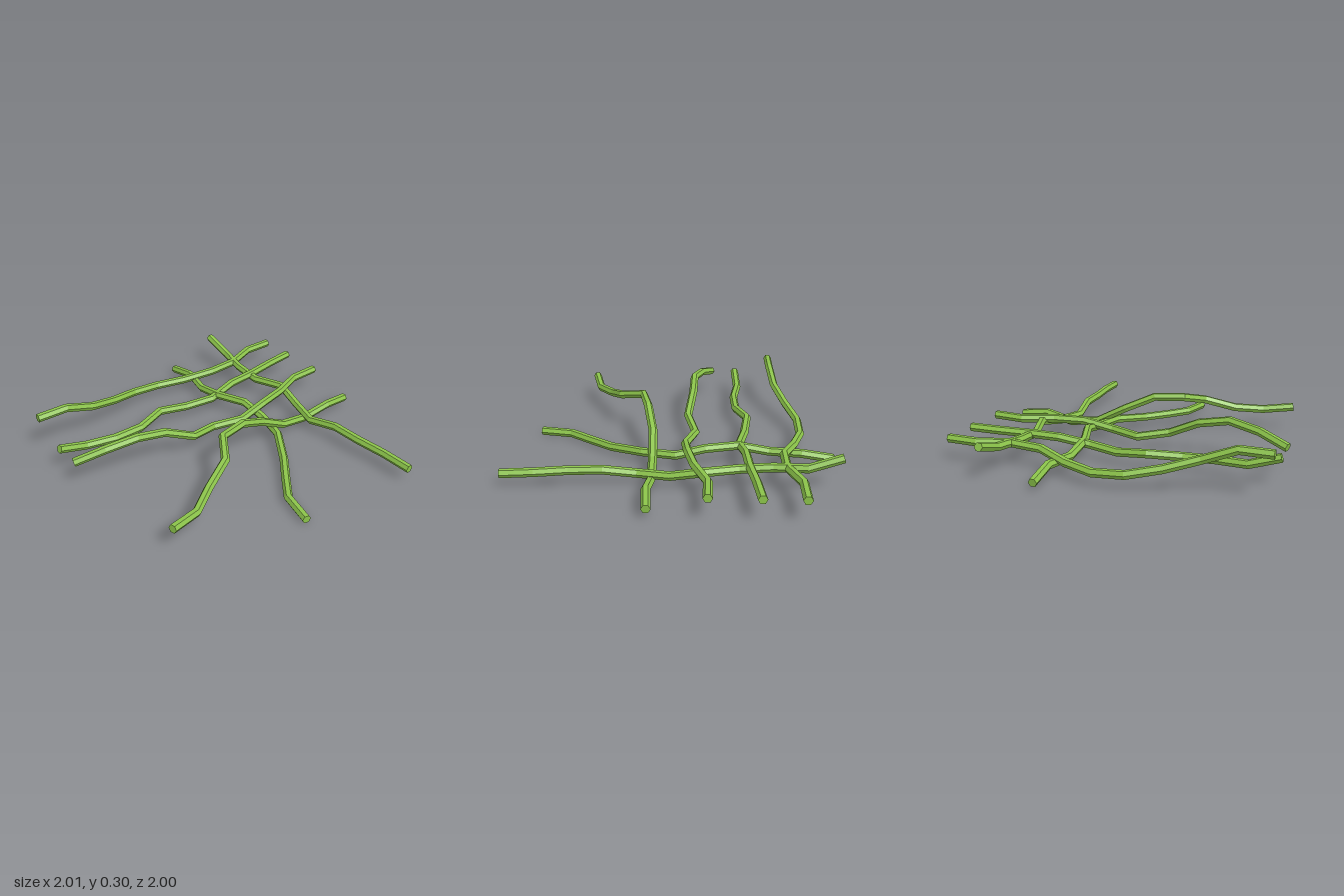
import * as THREE from 'three';

const SIDES = 6;
const RADIUS = 0.028;

// Hexagonal sweep with mitred joints along a path of [x, y, z] points
function strandGeometry(path) {
  const pts = path.map((p) => new THREE.Vector3(...p));
  const last = pts.length - 1;
  const rings = pts.map((p, i) => {
    const before = p.clone().sub(pts[Math.max(i - 1, 0)]).normalize();
    const after = pts[Math.min(i + 1, last)].clone().sub(p).normalize();
    const tangent = before.add(after).normalize();
    const side = new THREE.Vector3(0, 1, 0).cross(tangent).normalize();
    const up = tangent.clone().cross(side);
    return Array.from({ length: SIDES }, (_, j) => {
      const a = (j / SIDES) * Math.PI * 2;
      return p.clone()
        .addScaledVector(side, Math.cos(a) * RADIUS)
        .addScaledVector(up, Math.sin(a) * RADIUS);
    });
  });

  const verts = [];
  const tri = (a, b, c) => verts.push(...a.toArray(), ...b.toArray(), ...c.toArray());
  for (let j = 0; j < SIDES; j++) {
    const k = (j + 1) % SIDES;
    for (let i = 0; i < last; i++) {
      tri(rings[i][j], rings[i][k], rings[i + 1][j]);
      tri(rings[i][k], rings[i + 1][k], rings[i + 1][j]);
    }
    // end caps
    tri(pts[0], rings[0][k], rings[0][j]);
    tri(pts[last], rings[last][j], rings[last][k]);
  }
  const geo = new THREE.BufferGeometry();
  geo.setAttribute('position', new THREE.Float32BufferAttribute(verts, 3));
  geo.computeVertexNormals();
  return geo;
}

// Strands running from back to front
const lengthwise = {
  leftOuterVine: [
    [-0.755, 0.145, -1], [-0.755, 0.145, -0.8], [-0.68, 0.14, -0.6], [-0.68, 0.13, -0.4],
    [-0.755, 0.095, -0.2], [-0.82, 0.085, 0], [-0.82, 0.1, 0.2], [-0.755, 0.14, 0.4],
    [-0.69, 0.2, 0.6], [-0.665, 0.275, 0.8], [-0.665, 0.275, 1],
  ],
  leftInnerVine: [
    [-0.515, 0.145, -1], [-0.495, 0.14, -0.8], [-0.465, 0.135, -0.6], [-0.45, 0.13, -0.4],
    [-0.415, 0.095, -0.2], [-0.455, 0.085, 0], [-0.48, 0.11, 0.2], [-0.41, 0.095, 0.4],
    [-0.4, 0.1, 0.6], [-0.43, 0.11, 0.8], [-0.415, 0.17, 0.99],
  ],
  middleVine: [
    [-0.22, 0.145, -1], [-0.22, 0.14, -0.8], [-0.14, 0.14, -0.6], [-0.095, 0.135, -0.4],
    [-0.075, 0.095, -0.2], [-0.135, 0.085, 0], [-0.08, 0.12, 0.2], [-0.11, 0.215, 0.4],
    [-0.115, 0.255, 0.6], [-0.165, 0.225, 0.8], [-0.235, 0.17, 0.985],
  ],
  strayVine: [
    [0.115, 0.065, -0.99], [0.13, 0.085, -0.8], [0.115, 0.045, -0.6], [0.12, 0.075, -0.4],
    [0.13, 0.18, -0.2], [0.175, 0.27, 0], [0.22, 0.275, 0.19], [0.375, 0.23, 0.29],
    [0.465, 0.17, 0.48], [0.575, 0.145, 0.65], [0.63, 0.167, 0.85],
  ],
};

// Strands running from side to side
const crosswise = {
  backCrossVine: [
    [-1, 0.215, -0.62], [-0.8, 0.15, -0.63], [-0.6, 0.135, -0.595], [-0.4, 0.12, -0.595],
    [-0.2, 0.13, -0.665], [0, 0.085, -0.635], [0.2, 0.075, -0.585], [0.4, 0.11, -0.62],
    [0.6, 0.107, -0.63], [0.8, 0.102, -0.655], [1, 0.095, -0.665],
  ],
  frontCrossVine: [
    [-1, 0.048, -0.28], [-0.8, 0.083, -0.29], [-0.6, 0.075, -0.25], [-0.4, 0.11, -0.25],
    [-0.2, 0.12, -0.325], [-0.02, 0.08, -0.345], [0.19, 0.075, -0.295], [0.4, 0.045, -0.165],
    [0.555, 0.037, -0.045], [0.695, 0.033, 0.06], [0.905, 0.028, 0.105],
  ],
};

export function createModel() {
  const model = new THREE.Group();
  model.name = 'vineLattice';
  const material = new THREE.MeshStandardMaterial({ color: 0x8bc34a, flatShading: true });
  for (const [name, path] of Object.entries({ ...lengthwise, ...crosswise })) {
    const vine = new THREE.Mesh(strandGeometry(path), material);
    vine.name = name;
    model.add(vine);
  }
  return model;
}
